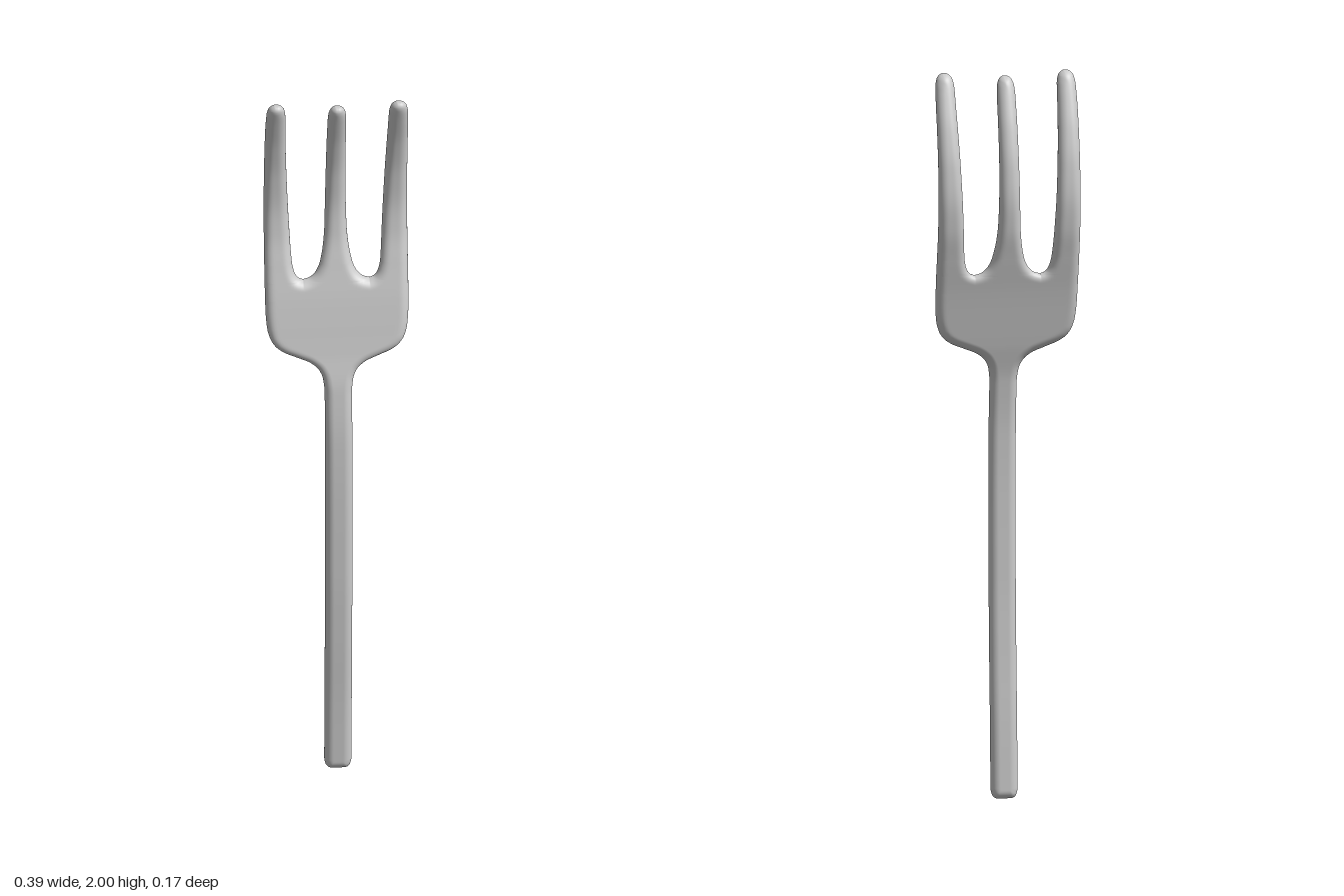
import * as THREE from 'three';
import { mergeVertices } from 'three/addons/utils/BufferGeometryUtils.js';

// Smooth interpolation through [y, value] pairs without overshoot
function profile(pts) {
  const n = pts.length;
  const sec = pts.slice(1).map((p, i) => (p[1] - pts[i][1]) / (p[0] - pts[i][0]));
  const tan = pts.map((p, i) => {
    if (i === 0) return sec[0];
    if (i === n - 1) return sec[n - 2];
    const a = sec[i - 1], b = sec[i];
    return a * b <= 0 ? 0 : (2 * a * b) / (a + b);
  });
  return (y) => {
    let i = 0;
    while (i < n - 2 && y > pts[i + 1][0]) i++;
    const h = pts[i + 1][0] - pts[i][0];
    const t = Math.min(1, Math.max(0, (y - pts[i][0]) / h));
    const t2 = t * t, t3 = t2 * t;
    return (2 * t3 - 3 * t2 + 1) * pts[i][1] + (t3 - 2 * t2 + t) * h * tan[i]
      + (3 * t2 - 2 * t3) * pts[i + 1][1] + (t3 - t2) * h * tan[i + 1];
  };
}

// Heights of the rows, from [start, end, steps] spans
function rows(spans) {
  const out = [spans[0][0]];
  for (const [a, b, n] of spans) for (let i = 1; i <= n; i++) out.push(a + (b - a) * i / n);
  return out;
}

const CROTCH_Y = 1.45, CROTCH_X = 0.09, HEAD_W = 0.195, NECK_Y = 1.2;
const HALF_THICK = 0.0225, ROUNDING = 0.024, ACROSS = 20;

// Side curve of the whole fork
const bend = profile([[0, 0.027], [0.2, 0.036], [0.4, 0.049], [0.6, 0.058], [0.85, 0.061],
  [1.0, 0.058], [1.15, 0.043], [1.25, 0.02], [1.4, -0.012], [1.5, -0.037], [1.58, -0.055],
  [1.66, -0.062], [1.75, -0.055], [1.85, -0.034], [1.93, -0.008], [2, 0.018]]);

// Half width of handle and head
const bodyEdge = profile([[0, 0.02], [0.004, 0.028], [0.013, 0.034], [0.03, 0.037], [1.14, 0.037],
  [1.18, 0.041], [1.205, 0.052], [1.225, 0.075], [1.24, 0.11], [1.255, 0.146], [1.27, 0.167],
  [1.29, 0.181], [1.32, 0.19], [1.37, 0.194], [CROTCH_Y, HEAD_W]]);

// Edges of the side tines and half width of the middle tine
const outerEdge = profile([[CROTCH_Y, HEAD_W], [1.9, 0.194], [1.965, 0.192], [1.985, 0.188],
  [1.995, 0.181], [2, 0.172]]);
const innerEdge = profile([[CROTCH_Y, CROTCH_X], [1.453, 0.1], [1.46, 0.108], [1.475, 0.115],
  [1.5, 0.12], [1.6, 0.126], [1.75, 0.133], [1.9, 0.139], [1.965, 0.141], [1.985, 0.145],
  [1.995, 0.152], [2, 0.161]]);
const middleEdge = profile([[CROTCH_Y, CROTCH_X], [1.453, 0.077], [1.46, 0.065], [1.475, 0.053],
  [1.5, 0.043], [1.55, 0.034], [1.6, 0.03], [1.75, 0.027], [1.95, 0.025], [1.975, 0.023],
  [1.99, 0.018], [1.996, 0.013], [2, 0.006]]);

const bodyRows = rows([[0, 0.005, 4], [0.005, 0.03, 8], [0.03, 1.14, 36], [1.14, NECK_Y, 8],
  [NECK_Y, 1.3, 36], [1.3, 1.4, 8], [1.4, CROTCH_Y, 14]]);
const tineRows = rows([[CROTCH_Y, 1.456, 6], [1.456, 1.5, 14], [1.5, 1.95, 28], [1.95, 1.985, 8],
  [1.985, 1.996, 6], [1.996, 2, 4]]);
// The middle tine is slightly shorter
const middleY = (y) => CROTCH_Y + (y - CROTCH_Y) * 0.98;

// Right half of the flat outline
const outline = [
  [0, 0],
  ...bodyRows.map((y) => [bodyEdge(y), y]),
  ...tineRows.map((y) => [outerEdge(y), y]),
  ...tineRows.slice().reverse().map((y) => [innerEdge(y), y]),
  ...tineRows.map((y) => [middleEdge(y), middleY(y)]),
  [0, middleY(2)],
];

function edgeDistance(x, y) {
  let best = Infinity;
  for (let i = 1; i < outline.length; i++) {
    const [ax, ay] = outline[i - 1], dx = outline[i][0] - ax, dy = outline[i][1] - ay;
    const len = dx * dx + dy * dy;
    const t = len ? Math.min(1, Math.max(0, ((x - ax) * dx + (y - ay) * dy) / len)) : 0;
    best = Math.min(best, Math.hypot(x - ax - t * dx, y - ay - t * dy));
  }
  return best;
}

// Thickness rolls off in a quarter round towards the outline
function halfThickness(x, y) {
  const k = 1 - Math.min(1, edgeDistance(Math.abs(x), y) / ROUNDING);
  return HALF_THICK * Math.sqrt(Math.max(0, 1 - k * k));
}

export function createModel() {
  const positions = [], index = [], owner = [];

  // Front and back skin of one strip; span(y) gives its left and right x
  function strip(ys, span, partAt, mapY = (y) => y) {
    const base = positions.length / 3, side = ys.length * (ACROSS + 1);
    for (const s of [1, -1]) {
      for (const row of ys) {
        const [a, b] = span(row), y = mapY(row);
        for (let i = 0; i <= ACROSS; i++) {
          const x = a + (b - a) * (1 - Math.cos(Math.PI * i / ACROSS)) / 2;
          positions.push(x, y, bend(y) + s * halfThickness(x, y));
        }
      }
    }
    for (let j = 0; j < ys.length - 1; j++) {
      for (let i = 0; i < ACROSS; i++) {
        const a = base + j * (ACROSS + 1) + i, b = a + 1, d = a + ACROSS + 1, c = d + 1;
        index.push(a, b, c, a, c, d);
        index.push(a + side, c + side, b + side, a + side, d + side, c + side);
        for (let k = 0; k < 4; k++) owner.push(partAt(ys[j]));
      }
    }
  }

  // Handle and head, in three columns that run on into the tines
  const k = CROTCH_X / HEAD_W;
  for (const [l, r] of [[-1, -k], [-k, k], [k, 1]]) {
    strip(bodyRows, (y) => [l * bodyEdge(y), r * bodyEdge(y)],
      (y) => (y < NECK_Y - 1e-6 ? 'handle' : 'head'));
  }

  // Tines
  strip(tineRows, (y) => [innerEdge(y), outerEdge(y)], () => 'leftTine');
  strip(tineRows, (y) => [-outerEdge(y), -innerEdge(y)], () => 'rightTine');
  strip(tineRows, (y) => [-middleEdge(y), middleEdge(y)], () => 'middleTine', middleY);

  // Weld for continuous smooth normals, then split into named parts
  let skin = new THREE.BufferGeometry();
  skin.setAttribute('position', new THREE.Float32BufferAttribute(positions, 3));
  skin.setIndex(index);
  skin = mergeVertices(skin, 1e-5);
  skin.computeVertexNormals();

  const material = new THREE.MeshStandardMaterial({ color: 0xcccccc });
  const fork = new THREE.Group();
  fork.name = 'fork';
  const welded = Array.from(skin.index.array);
  for (const name of ['handle', 'head', 'leftTine', 'middleTine', 'rightTine']) {
    const part = new THREE.BufferGeometry();
    part.setAttribute('position', skin.attributes.position);
    part.setAttribute('normal', skin.attributes.normal);
    part.setIndex(welded.filter((v, i) => owner[Math.floor(i / 3)] === name));
    const mesh = new THREE.Mesh(part, material);
    mesh.name = name;
    fork.add(mesh);
  }
  return fork;
}
